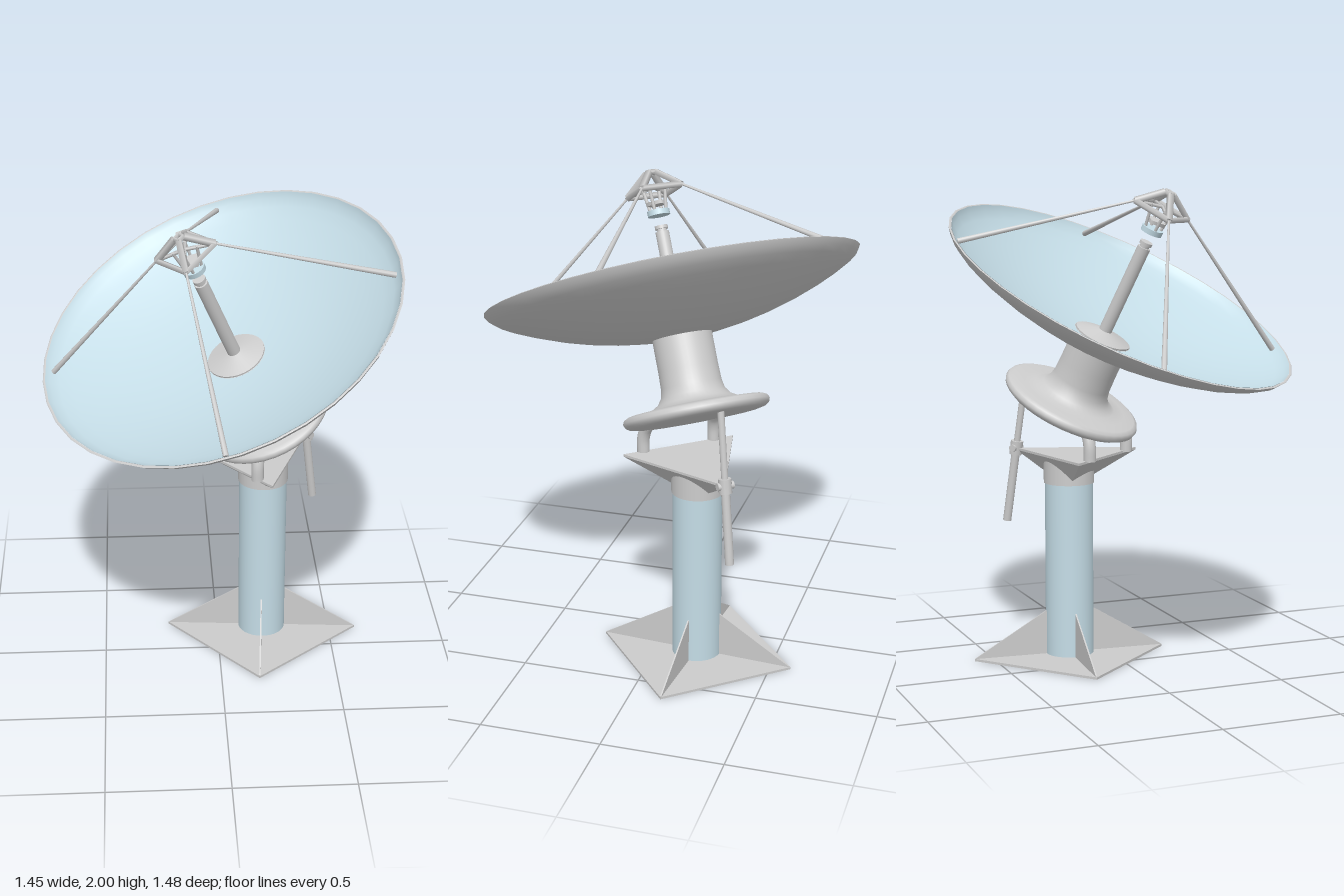
import * as THREE from 'three';

const grey = new THREE.MeshStandardMaterial({ color: 0xcccccc });
const greyThin = new THREE.MeshStandardMaterial({ color: 0xcccccc, side: THREE.DoubleSide });
const blue = new THREE.MeshStandardMaterial({ color: 0xc4dce6, side: THREE.DoubleSide });
const V = (x, y, z) => new THREE.Vector3(x, y, z);

function add(parent, name, geometry, material = grey) {
  const mesh = new THREE.Mesh(geometry, material);
  mesh.name = name;
  parent.add(mesh);
  return mesh;
}

// Straight rod between two points, radius ra at a and rb at b
function rod(parent, name, a, b, ra, rb = ra, sides = 12, material = grey) {
  const mesh = add(parent, name, new THREE.CylinderGeometry(rb, ra, a.distanceTo(b), sides), material);
  mesh.position.copy(a).lerp(b, 0.5);
  mesh.quaternion.setFromUnitVectors(V(0, 1, 0), b.clone().sub(a).normalize());
  return mesh;
}

function lathe(parent, name, pairs, material, segments = 40) {
  const pts = pairs.map(([r, y]) => new THREE.Vector2(r, y));
  return add(parent, name, new THREE.LatheGeometry(pts, segments), material);
}

// Point on one of the four diagonals at radius r and height y
function diagonal(i, r, y) {
  const a = Math.PI / 4 + i * Math.PI / 2;
  return V(r * Math.cos(a), y, r * Math.sin(a));
}

function buildPedestal(mount) {
  // Square foot with a round hole under the post
  const half = 0.297;
  const foot = new THREE.Shape([[-1, -1], [1, -1], [1, 1], [-1, 1]]
    .map(([x, y]) => new THREE.Vector2(x * half, y * half)));
  foot.holes.push(new THREE.Path().absarc(0, 0, 0.1, 0, Math.PI * 2, true));
  const footGeo = new THREE.ExtrudeGeometry(foot, { depth: 0.01, bevelEnabled: false, curveSegments: 24 });
  add(mount, 'basePlate', footGeo.rotateX(-Math.PI / 2));

  const post = add(mount, 'post', new THREE.CylinderGeometry(0.103, 0.103, 0.75, 32, 1, true), blue);
  post.position.y = 0.38;
  const collar = add(mount, 'postCollar', new THREE.CylinderGeometry(0.108, 0.108, 0.125, 32));
  collar.position.y = 0.8175;

  // Triangular stiffeners running out to the foot corners
  const fin = new THREE.Shape([[0.095, 0.005], [0.415, 0.005], [0.415, 0.012], [0.095, 0.205]]
    .map(([x, y]) => new THREE.Vector2(x, y)));
  const finGeo = new THREE.ExtrudeGeometry(fin, { depth: 0.006, bevelEnabled: false }).translate(0, 0, -0.003);
  for (let i = 0; i < 4; i++) {
    add(mount, 'baseGusset', finGeo).rotation.y = Math.PI / 4 + i * Math.PI / 2;
  }
}

function buildHead(mount) {
  // Inverted three-sided pyramid with a thin plate on top
  const corners = [[0.25, 0.19], [0, -0.262], [-0.25, 0.19]];
  const ring = (y) => corners.map(([x, z]) => V(x, y, z));
  const top = ring(0.885), low = ring(0.875), tip = V(0, 0.725, 0);
  const tris = [[top[0], top[1], top[2]]];
  for (let i = 0; i < 3; i++) {
    const j = (i + 1) % 3;
    tris.push([top[i], low[i], top[j]], [low[i], low[j], top[j]], [low[i], tip, low[j]]);
  }
  const geo = new THREE.BufferGeometry().setFromPoints(tris.flat());
  geo.computeVertexNormals();
  add(mount, 'headPlate', geo, greyThin);

  // Curved hinge legs under the tilting hub
  for (const s of [-1, 1]) {
    const path = new THREE.CatmullRomCurve3([
      V(s * 0.16, 0.88, 0.19), V(s * 0.16, 0.94, 0.19), V(s * 0.155, 0.98, 0.18), V(s * 0.145, 1.02, 0.155)]);
    add(mount, 'hingeLeg', new THREE.TubeGeometry(path, 12, 0.026, 14));
  }

  // Elevation jack clamped to the rear corner of the head
  const upper = V(0, 1.2, -0.212), pivot = V(0, 0.885, -0.262), lower = V(0, 0.56, -0.312);
  rod(mount, 'jackUpperRod', pivot, upper, 0.014);
  rod(mount, 'jackLowerTube', lower, pivot, 0.018);
  const along = upper.clone().sub(lower).normalize();
  rod(mount, 'jackClamp', pivot.clone().addScaledVector(along, -0.03),
    pivot.clone().addScaledVector(along, 0.03), 0.027);
  rod(mount, 'jackPin', V(-0.035, 0.885, -0.262), V(0.035, 0.885, -0.262), 0.016);
}

function buildDish(dish) {
  // Shell: shallow bowl that curls up at the rim
  const bowl = [[0, -0.225], [0.1, -0.222], [0.2, -0.212], [0.3, -0.195], [0.4, -0.172], [0.5, -0.142],
    [0.6, -0.105], [0.68, -0.07], [0.73, -0.043], [0.76, -0.02], [0.775, 0.002]];
  lathe(dish, 'dishBack', bowl, grey, 36);
  const inner = bowl.map(([r, y]) => [r * 0.986, y + 0.012 * (1 - r / 0.9)]).reverse();
  lathe(dish, 'dishReflector', inner, blue, 36);
  lathe(dish, 'dishLip', [[0.775, 0.002], [0.77, 0.005], [0.764, 0.002]], greyThin, 36);

  // Flanged hub behind the bowl
  lathe(dish, 'hub', [[0, -0.565], [0.15, -0.565], [0.25, -0.563], [0.28, -0.557], [0.297, -0.545],
    [0.302, -0.53], [0.295, -0.515], [0.278, -0.507], [0.23, -0.503], [0.18, -0.497], [0.15, -0.48],
    [0.132, -0.455], [0.125, -0.42], [0.123, -0.35], [0.123, -0.2]], grey);

  // Feed horn on a shallow cone in the middle of the bowl
  const cone = add(dish, 'hornBase', new THREE.CylinderGeometry(0.028, 0.125, 0.03, 36));
  cone.position.y = -0.192;
  rod(dish, 'hornTube', V(0, -0.2, 0), V(0, 0.215, 0), 0.028, 0.028, 24);
  rod(dish, 'hornNeck', V(0, 0.21, 0), V(0, 0.228, 0), 0.02, 0.02, 24);
  rod(dish, 'hornCap', V(0, 0.226, 0), V(0, 0.24, 0), 0.027, 0.027, 24);
}

function buildFeed(dish) {
  const feed = new THREE.Group();
  feed.name = 'feedFrame';
  dish.add(feed);
  for (let i = 0; i < 4; i++) {
    const corner = diagonal(i, 0.122, 0.385), next = diagonal(i + 1, 0.122, 0.385);
    const peak = diagonal(i, 0.02, 0.462), nextPeak = diagonal(i + 1, 0.02, 0.462);
    // Open pyramid of flat-sided bars
    rod(feed, 'frameEdge', corner, next, 0.013, 0.013, 4);
    rod(feed, 'frameRib', corner, peak, 0.016, 0.016, 4);
    rod(feed, 'frameTop', peak, nextPeak, 0.011, 0.011, 4);
    // Hangers for the sub-reflector
    rod(feed, 'hanger', diagonal(i, 0.034, 0.3), diagonal(i, 0.05, 0.4), 0.007, 0.007, 6);
    rod(feed, 'crossBar', diagonal(i, 0.122, 0.385), V(0, 0.4, 0), 0.008, 0.008, 4);
    // Long stays to the rim
    rod(dish, 'stay', diagonal(i, 0.735, -0.02), corner, 0.012, 0.005, 8);
  }
  rod(feed, 'subReflectorMount', V(0, 0.325, 0), V(0, 0.34, 0), 0.046, 0.046, 4);
  rod(feed, 'subReflector', V(0, 0.282, 0), V(0, 0.304, 0), 0.046, 0.046, 20, blue);
}

export function createModel() {
  const model = new THREE.Group();
  model.name = 'dishAntenna';

  // Mount frame: local +z is the direction the dish leans
  const mount = new THREE.Group();
  mount.name = 'mount';
  mount.position.set(0.2, 0, -0.167);
  mount.rotation.y = -0.871;
  model.add(mount);
  buildPedestal(mount);
  buildHead(mount);

  // Tilted frame whose origin is the rim centre
  const dish = new THREE.Group();
  dish.name = 'dish';
  dish.position.set(0, 1.57, 0.26);
  dish.rotation.x = 0.48;
  mount.add(dish);
  buildDish(dish);
  buildFeed(dish);
  return model;
}
